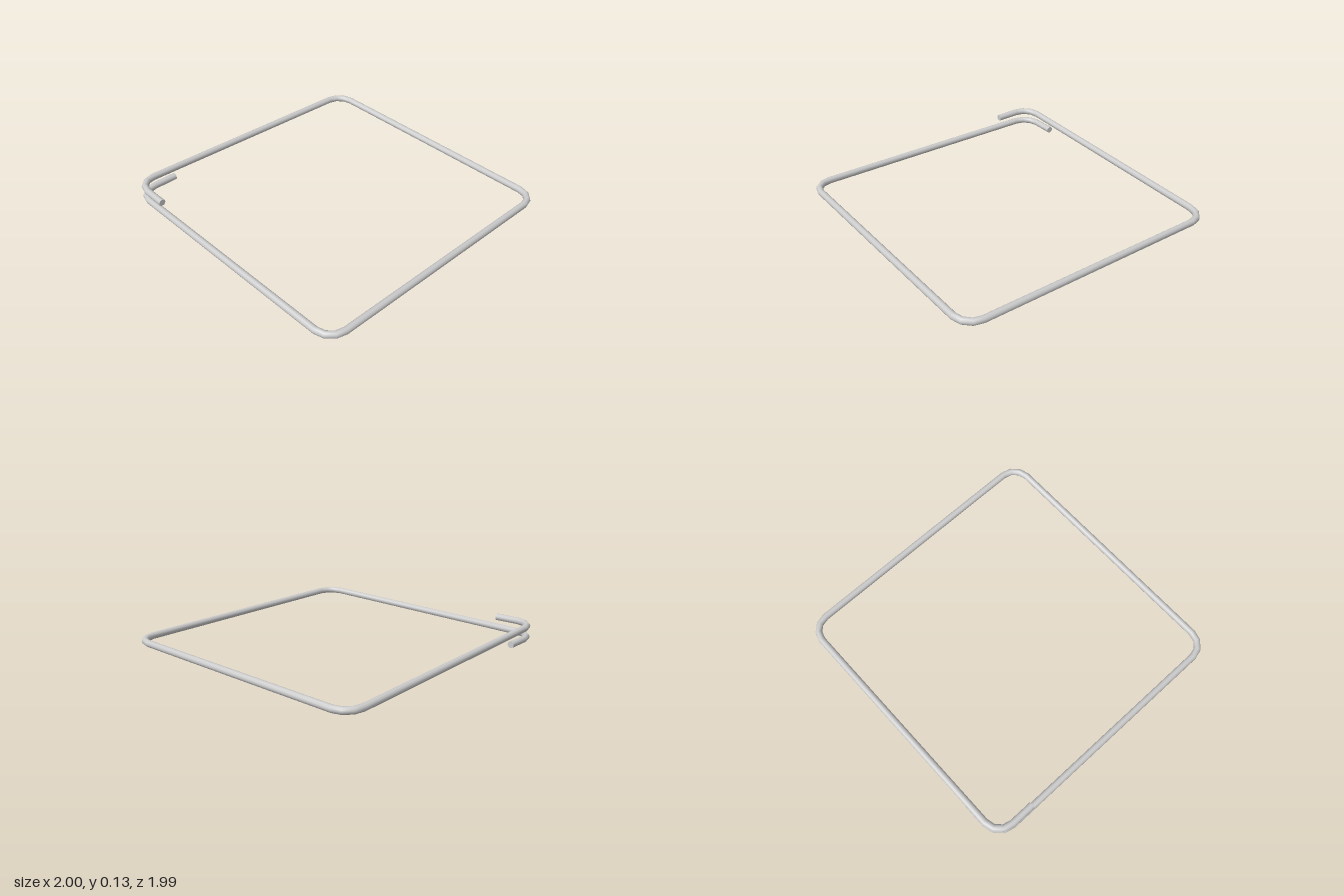
import * as THREE from 'three';

const R = 0.024;       // bar radius
const C = 0.976;       // centre line half-size
const BEND = 0.125;    // bend radius on the centre line
const SIDES = 12;

// Path through fixed points, with one tube ring on each point
class BarPath extends THREE.Curve {
  constructor(points) {
    super();
    this.points = points;
  }
  getPointAt(u, target = new THREE.Vector3()) {
    return target.copy(this.points[Math.round(u * (this.points.length - 1))]);
  }
  getTangentAt(u, target = new THREE.Vector3()) {
    const p = this.points, i = Math.round(u * (p.length - 1));
    target.set(0, 0, 0);
    if (i > 0) target.add(p[i].clone().sub(p[i - 1]).normalize());
    if (i < p.length - 1) target.add(p[i + 1].clone().sub(p[i]).normalize());
    return target.normalize();
  }
}

// Replace every inner corner by a short faceted arc
function roundCorners(corners, radius, steps) {
  const out = [corners[0]];
  for (let i = 1; i < corners.length - 1; i++) {
    const c = corners[i];
    const a = corners[i - 1].clone().sub(c).normalize();
    const b = corners[i + 1].clone().sub(c).normalize();
    for (let k = 0; k <= steps; k++) {
      const t = (k / steps) * Math.PI / 2;
      out.push(c.clone()
        .addScaledVector(a, radius * (1 - Math.sin(t)))
        .addScaledVector(b, radius * (1 - Math.cos(t))));
    }
  }
  out.push(corners[corners.length - 1]);
  return out;
}

export function createModel() {
  const group = new THREE.Group();
  group.name = 'barStirrup';
  const material = new THREE.MeshStandardMaterial({ color: 0xcccccc });

  // Upper hook, back, right, front, left, lower hook
  const corners = [
    [-C, 0.102, -0.68],
    [-C, 0.107, -C],
    [C, 0.034, -C],
    [C, 0.033, C - 0.005],
    [-C, 0.032, C - 0.005],
    [-C, 0.026, -C],
    [-0.68, 0.025, -C],
  ].map((p) => new THREE.Vector3(...p));
  const points = roundCorners(corners, BEND, 3);
  const path = new BarPath(points);

  const bar = new THREE.Mesh(
    new THREE.TubeGeometry(path, points.length - 1, R, SIDES, false), material);
  bar.name = 'bentBar';
  group.add(bar);

  // Flat cut ends
  for (const [name, u, sign] of [['upperHookEnd', 0, -1], ['lowerHookEnd', 1, 1]]) {
    const cap = new THREE.Mesh(new THREE.CircleGeometry(R, SIDES), material);
    cap.name = name;
    cap.position.copy(path.getPointAt(u));
    cap.quaternion.setFromUnitVectors(
      new THREE.Vector3(0, 0, 1), path.getTangentAt(u).multiplyScalar(sign));
    group.add(cap);
  }
  return group;
}
